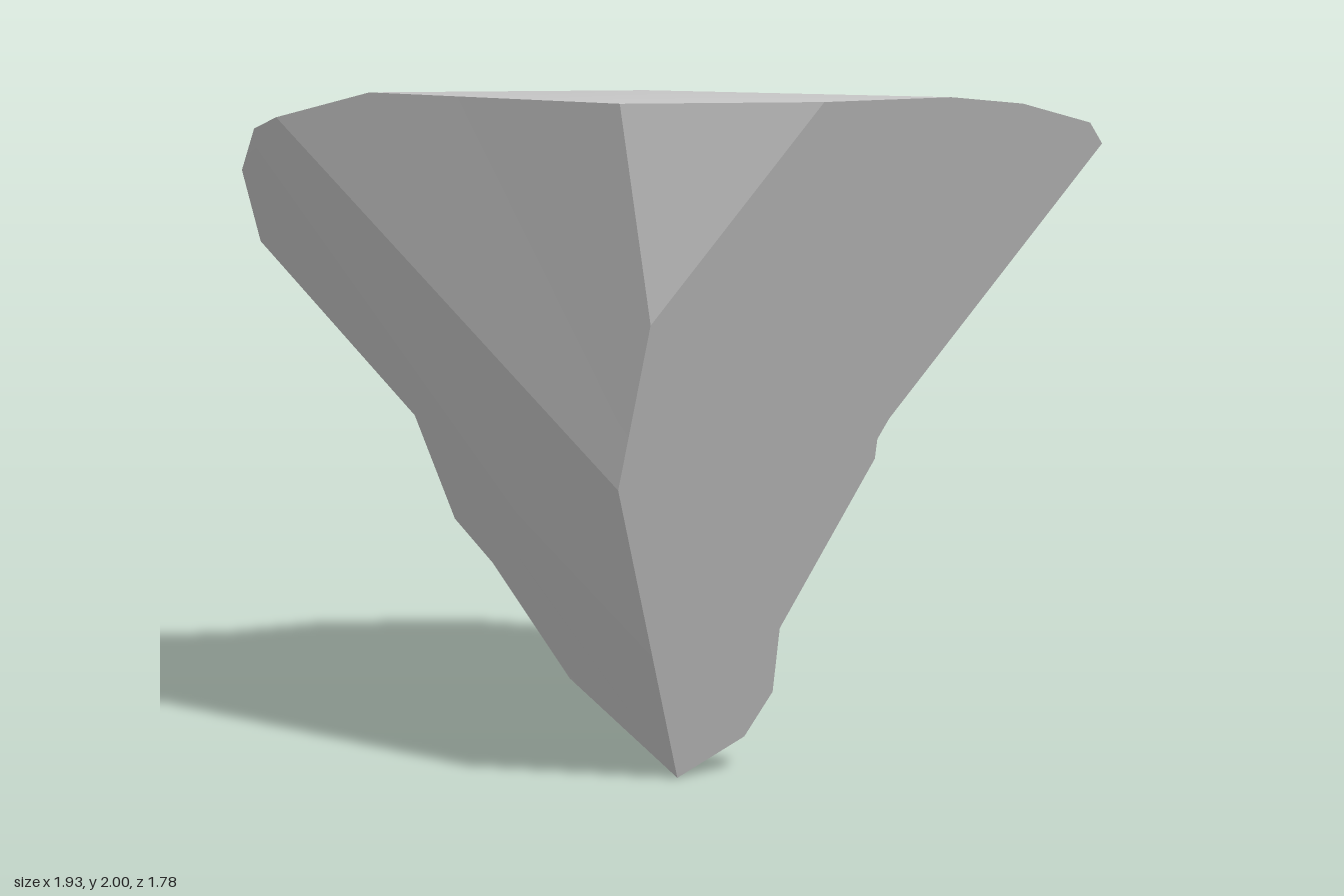
import * as THREE from 'three';
import { toCreasedNormals } from 'three/addons/utils/BufferGeometryUtils.js';

const stone = new THREE.MeshStandardMaterial({ color: 0xc8c8c8 });
stone.name = 'stone grey';

// A point on the flat sloping front cut
const onFront = (x, y) => [x, y, 0.02 + 0.094 * (x - 0.06) + 0.414 * y];

// Mesh from points and triangles, smooth except at sharp edges
function makeMesh(name, points, triangles, crease = 0.5) {
  const geometry = new THREE.BufferGeometry();
  geometry.setAttribute('position', new THREE.Float32BufferAttribute(points.flat(), 3));
  geometry.setIndex(triangles.flat());
  const mesh = new THREE.Mesh(toCreasedNormals(geometry, crease), stone);
  mesh.name = name;
  return mesh;
}

// Skin between rails that run from the front edge round the back to the left cut
function loft(name, rails) {
  const n = rails[0].length;
  const points = rails.flat();
  const same = (a, b) => points[a].every((v, i) => v === points[b][i]);
  const triangles = [];
  for (let i = 0; i < rails.length - 1; i++) {
    for (let j = 0; j < n - 1; j++) {
      const a = i * n + j, b = a + 1, d = a + n, c = d + 1;
      for (const [p, q, r] of [[a, d, c], [a, c, b]]) {
        if (!same(p, q) && !same(q, r) && !same(r, p)) triangles.push([p, q, r]);
      }
    }
  }
  return makeMesh(name, points, triangles, 0.6);
}

// Cut face filled from its outline; flatten gives the outline as seen from outside
function cutFace(name, outline, flatten) {
  const flat = outline.map((p) => new THREE.Vector2(...flatten(p)));
  const triangles = THREE.ShapeUtils.triangulateShape(flat, []).map(([a, b, c]) => {
    const area = flat[b].clone().sub(flat[a]).cross(flat[c].clone().sub(flat[a]));
    return area > 0 ? [a, b, c] : [a, c, b];
  });
  return makeMesh(name, outline, triangles);
}
const fromFront = ([x, y]) => [x, y];
const fromLeftCut = ([, y, z]) => [z, y];
const fromRight = ([, y, z]) => [-z, y];

export function createModel() {
  const group = new THREE.Group();
  group.name = 'rock';

  const tip = [0.06, 0, 0.02];
  const corner = onFront(0.875, 1.855);
  const shoulder = [0.965, 1.89, 0.52];

  // Rails from the top rim down to the tip
  const rim = [corner, shoulder, [0.805, 1.905, -0.105], [0.557, 1.925, -0.4],
    [0.02, 1.907, -0.61], [-0.515, 1.89, -0.82], [-0.97, 1.88, -0.54]];
  const brow = [corner, shoulder, [0.65, 1.59, -0.28], [0.36, 1.66, -0.66],
    [0.095, 1.705, -0.82], [-0.33, 1.69, -0.89], [-0.93, 1.75, -0.71]];
  const bulge = [onFront(0.44, 1.09), [0.475, 1.19, 0.38], [0.4, 1.27, -0.13], [0.22, 1.28, -0.43],
    [-0.03, 1.31, -0.62], [-0.47, 1.33, -0.74], [-0.82, 1.53, -0.83]];
  const ledge = [onFront(0.42, 1.03), [0.39, 0.98, 0.34], [0.22, 0.98, 0.08], [0.02, 0.98, -0.2],
    [-0.15, 0.995, -0.28], [-0.34, 1.02, -0.37], [-0.53, 1.05, -0.45]];
  const waist = [onFront(0.43, 0.97), [0.375, 0.81, 0.21], [0.32, 0.65, -0.03], [0.14, 0.68, -0.25],
    [-0.04, 0.71, -0.47], [-0.2, 0.715, -0.49], [-0.37, 0.72, -0.51]];
  const belly = [onFront(0.27, 0.46), [0.265, 0.4, 0.09], [0.25, 0.35, -0.05], [0.12, 0.43, -0.2],
    [-0.04, 0.52, -0.39], [-0.15, 0.56, -0.42], [-0.28, 0.59, -0.45]];
  const keel = [onFront(0.305, 0.25), [0.27, 0.22, 0.03], [0.2, 0.2, -0.08], [0.1, 0.21, -0.18],
    [0.02, 0.22, -0.26], [-0.03, 0.23, -0.3], [-0.09, 0.24, -0.33]];
  const foot = [onFront(0.25, 0.11), [0.22, 0.09, 0.03], [0.18, 0.07, -0.02], [0.14, 0.06, -0.06],
    [0.1, 0.05, -0.09], [0.07, 0.05, -0.1], [0.02, 0.07, -0.09]];
  const rails = [rim, brow, bulge, ledge, waist, belly, keel, foot, rim.map(() => tip)];

  group.add(
    loft('backBand', rails.slice(0, 2)),
    loft('overhang', rails.slice(1, 4)),
    loft('waistBand', rails.slice(3, 5)),
    loft('lowerBack', rails.slice(4)),
  );

  // Corners of the front and left cuts
  const frontTop = [[0.815, 1.915], [0.58, 1.975], [0.35, 2], [-0.03, 2]].map((p) => onFront(...p));
  const chip = onFront(-0.38, 1.42);
  const cheek = onFront(-0.36, 0.95);
  const topLeft = [-0.5, 2, 0.61];
  const topBack = [-0.84, 2, -0.1];
  const leftEnd = [-0.97, 1.92, -0.4];

  // Front and side cuts
  const rightEdge = rails.slice(1, -1).map((r) => r[0]).reverse();
  const leftEdge = rails.slice(0, -1).map((r) => r[r.length - 1]);
  group.add(
    cutFace('frontFace', [tip, ...rightEdge, ...frontTop, chip, cheek], fromFront),
    cutFace('leftCut', [tip, cheek, leftEnd, ...leftEdge], fromLeftCut),
    cutFace('upperSideCut', [cheek, chip, topLeft, topBack, leftEnd], fromLeftCut),
    cutFace('frontChip', [chip, frontTop[3], topLeft], fromFront),
    cutFace('cornerChip', [corner, shoulder, frontTop[0]], fromRight),
  );

  // Gently domed top, fanned from its middle
  const topRing = [topLeft, ...frontTop.slice().reverse(), ...rim.slice(1), leftEnd, topBack];
  const fan = topRing.map((_, i) => [0, i + 1, ((i + 1) % topRing.length) + 1]);
  group.add(makeMesh('topFace', [[-0.1, 1.99, 0.1], ...topRing], fan, 0.7));

  return group;
}
